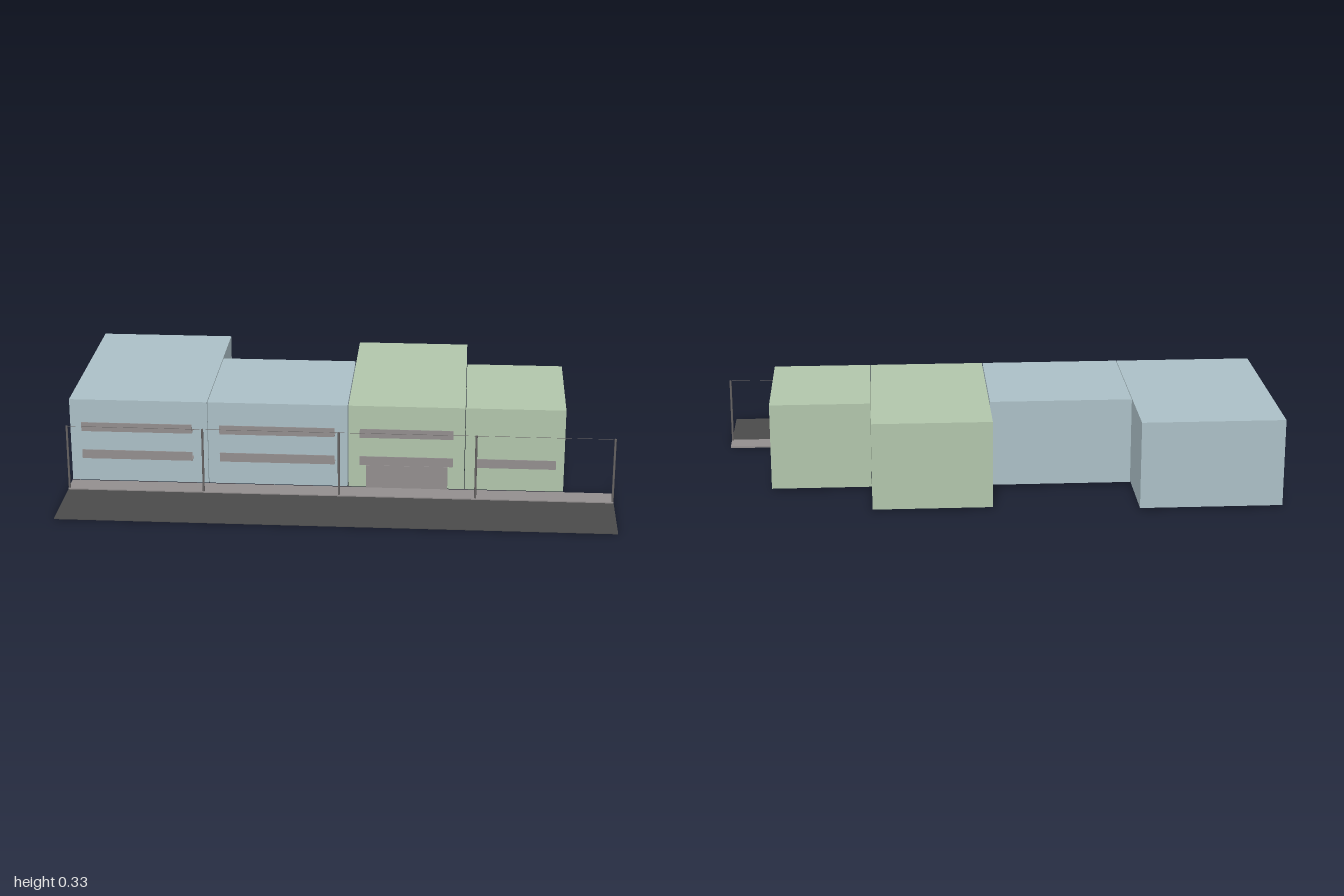
import * as THREE from 'three';

const mat = (name, color) => {
  const m = new THREE.MeshStandardMaterial({ color });
  m.name = name;
  return m;
};

export function createModel() {
  const blue = mat('pale blue wall', 0xabbfc6);
  const green = mat('pale green wall', 0xb1c5ab);
  const grey = mat('concrete grey', 0x928e8e);
  const asphalt = mat('dark asphalt', 0x4a4a4a);
  const steel = mat('pole grey', 0x676464);

  const model = new THREE.Group();
  model.name = 'streetBlock';

  // Box given by its lower and upper limits on each axis
  const box = (name, material, [x0, x1], [y0, y1], [z0, z1], parent = model) => {
    const mesh = new THREE.Mesh(new THREE.BoxGeometry(x1 - x0, y1 - y0, z1 - z0), material);
    mesh.position.set((x0 + x1) / 2, (y0 + y1) / 2, (z0 + z1) / 2);
    mesh.name = name;
    parent.add(mesh);
  };

  const front = 0.203, walkTop = 0.006, kerb = 0.286, edge = 0.554;

  // Street
  box('road', asphalt, [-1, 1], [0, 0.002], [kerb, edge]);
  box('sidewalk', grey, [-1, 1], [0, walkTop], [front, kerb]);

  // Buildings: width limits, back wall, balcony limits, balcony floor heights
  const low = 0.113, high = 0.22;
  const buildings = [
    { name: 'blueDeepHouse', m: blue, x: [-0.998, -0.489], back: -edge, rail: [-0.949, -0.541], floors: [low, high] },
    { name: 'blueShortHouse', m: blue, x: [-0.487, 0.027], back: -0.285, rail: [-0.44, -0.018], floors: [low, high] },
    { name: 'greenDeepHouse', m: green, x: [0.03, 0.456], back: -0.513, rail: [0.074, 0.414], floors: [low, high] },
    { name: 'greenShortHouse', m: green, x: [0.458, 0.82], back: -0.279, rail: [0.497, 0.788], floors: [low] },
  ];
  for (const b of buildings) {
    const house = new THREE.Group();
    house.name = b.name;
    model.add(house);
    box('walls', b.m, b.x, [0.008, 0.326], [b.back, front], house);
    // Open-ended balconies: a floor slab and a front parapet
    for (const y of b.floors) {
      box('balconyFloor', grey, b.rail, [y - 0.002, y + 0.001], [front, 0.245], house);
      box('balconyParapet', grey, b.rail, [y - 0.002, y + 0.032], [0.242, 0.245], house);
    }
  }

  // Garage door
  box('garageDoor', grey, [0.095, 0.395], [walkTop, 0.094], [front, front + 0.002]);

  // Utility poles joined by a thin wire
  const poleZ = 0.278, poleTop = 0.25;
  for (let i = 0; i < 5; i++) {
    const pole = new THREE.Mesh(new THREE.CylinderGeometry(0.004, 0.004, poleTop - walkTop, 8), steel);
    pole.position.set((i - 2) * 0.498, (poleTop + walkTop) / 2, poleZ);
    pole.name = 'pole';
    model.add(pole);
  }
  box('wire', steel, [-0.996, 0.996], [poleTop - 0.002, poleTop - 0.001], [poleZ - 0.0005, poleZ + 0.0005]);

  return model;
}
